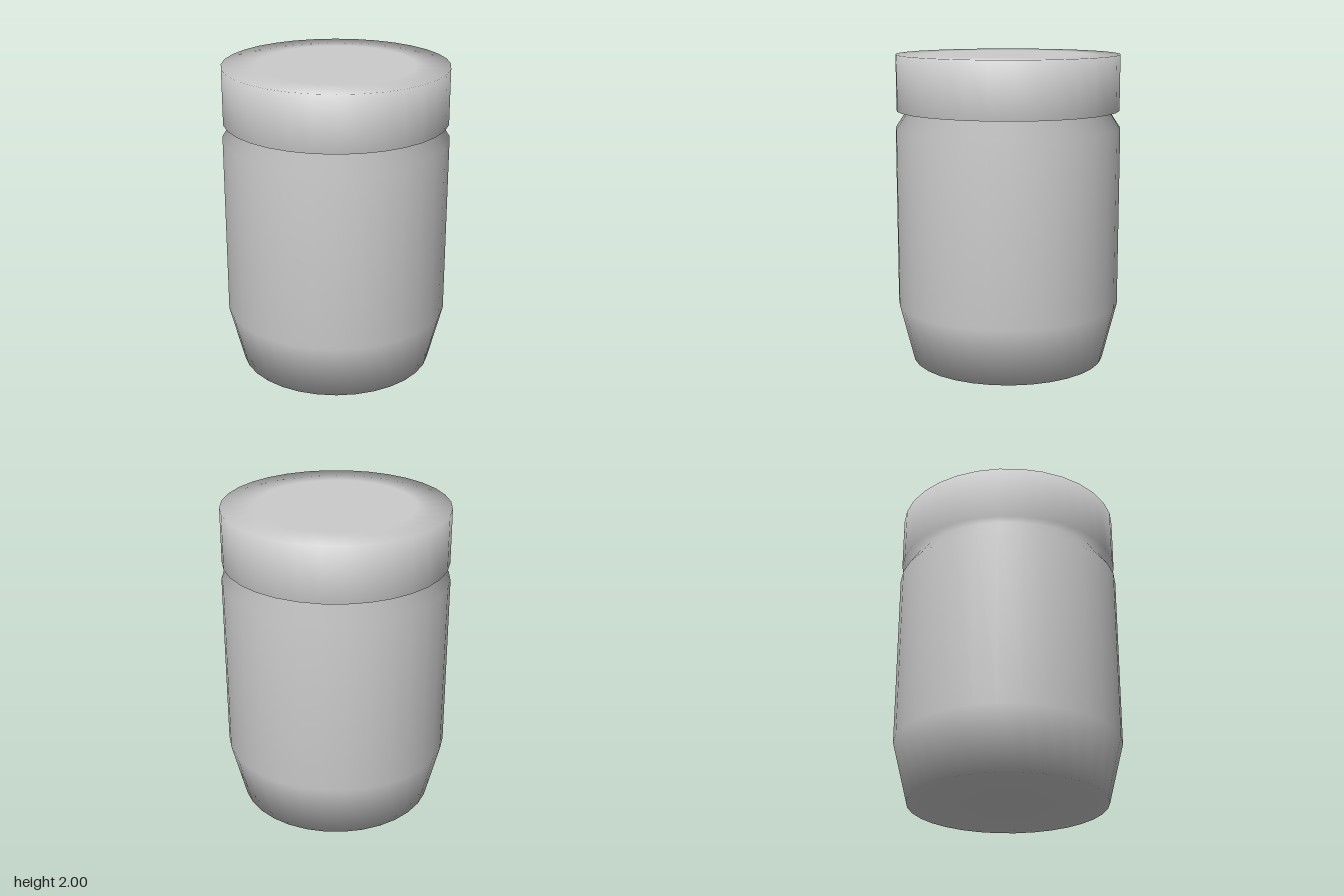
import * as THREE from 'three';

const SIDES = 32;

// Radius and height pairs, from the centre of the base up to the centre of the lid
const base = [[0, 0], [0.63, 0]];
const body = [[0.725, 0.38], [0.725, 1.53], [0.65, 1.645]];
const lid = [[0.718, 1.645], [0.718, 2], [0.5, 2], [0, 2]];

export function createModel() {
  const group = new THREE.Group();
  group.name = 'jar';

  // Body and lid are one turned skin, so the shading flows softly over every edge
  const profile = [...base, ...body, ...lid].map(([r, y]) => new THREE.Vector2(r, y));
  const jar = new THREE.Mesh(
    new THREE.LatheGeometry(profile, SIDES),
    new THREE.MeshStandardMaterial({ color: 0xcccccc })
  );
  jar.name = 'jarBodyAndLid';
  group.add(jar);

  return group;
}
